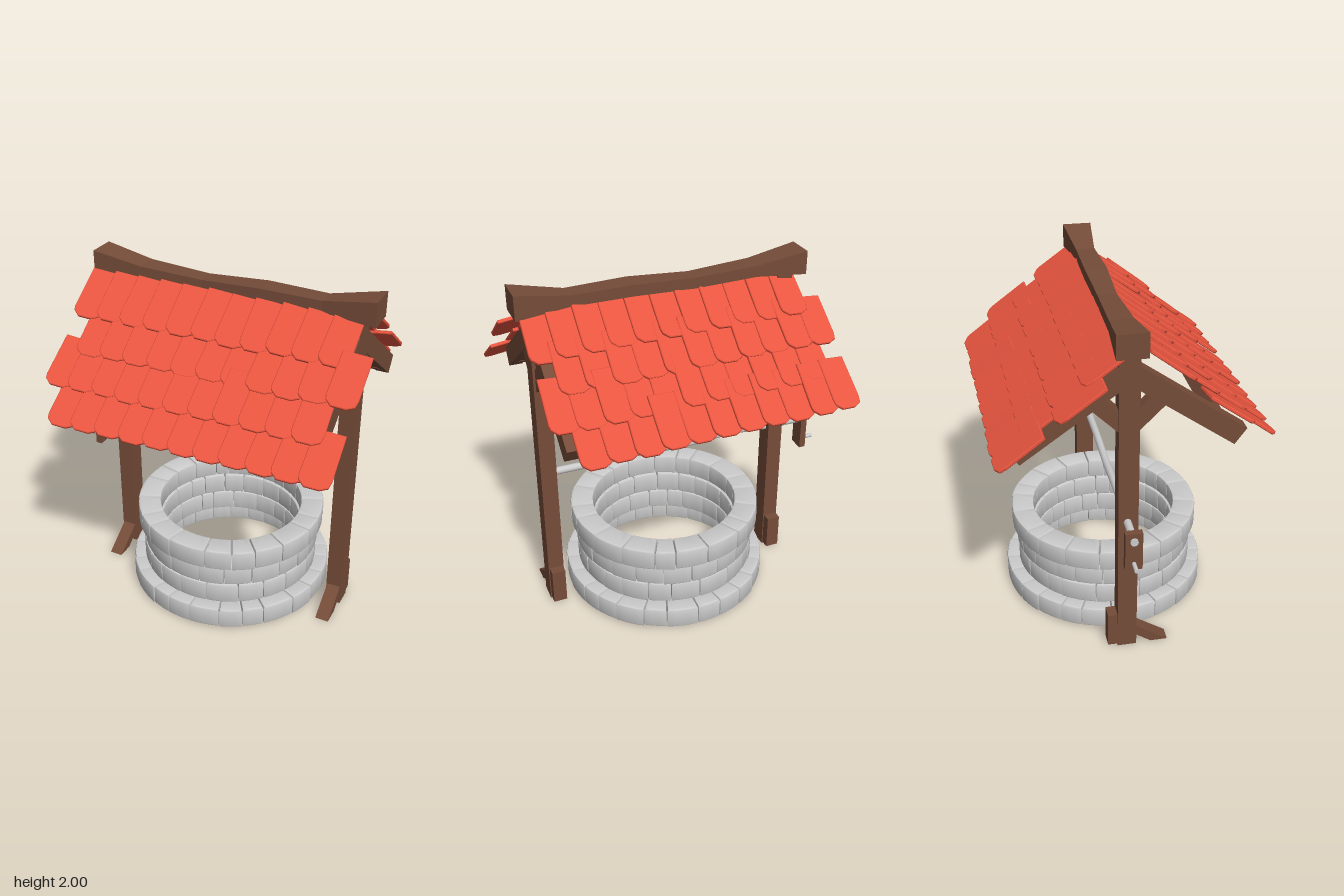
import * as THREE from 'three';
import { toCreasedNormals } from 'three/addons/utils/BufferGeometryUtils.js';

const wood = new THREE.MeshStandardMaterial({ color: 0x754c39, flatShading: true });
const clay = new THREE.MeshStandardMaterial({ color: 0xe8553f, flatShading: true });
const grey = new THREE.MeshStandardMaterial({ color: 0xcccccc });

const MID_Z = -0.03;                 // centre plane of the frame
const POSTS = [-0.648, 0.78];        // x of the two posts

let seed = 7;
const rand = () => (seed = (seed * 16807) % 2147483647) / 2147483647;
const jitter = (a) => (rand() - 0.5) * 2 * a;

function add(parent, name, geo, mat, x = 0, y = 0, z = 0) {
  const m = new THREE.Mesh(geo, mat);
  m.name = name;
  m.position.set(x, y, z);
  parent.add(m);
  return m;
}

// Box-section timber lying in the y-z plane between two [z, y] points
function timber(parent, name, x, a, b, width, height) {
  const dz = b[0] - a[0], dy = b[1] - a[1];
  const m = add(parent, name, new THREE.BoxGeometry(width, height, Math.hypot(dz, dy)), wood,
    x, (a[1] + b[1]) / 2, (a[0] + b[0]) / 2);
  m.rotation.x = Math.atan2(-dy, dz);
  return m;
}

// One bevelled wedge stone spanning angles a0..a1
function stoneGeometry(a0, a1, ri, ro, h) {
  const b = 0.011, gap = 0.002, N = 4, pts = [];
  for (const r of [ro - b, ri + b]) {
    const inset = (b + gap) / r;
    for (let i = 0; i <= N; i++) {
      const t = r > (ri + ro) / 2 ? i / N : 1 - i / N;
      const a = a0 + inset + (a1 - a0 - 2 * inset) * t;
      pts.push(new THREE.Vector2(r * Math.cos(a), r * Math.sin(a)));
    }
  }
  const g = new THREE.ExtrudeGeometry(new THREE.Shape(pts), {
    depth: h - 2 * b, bevelEnabled: true, bevelSize: b, bevelThickness: b, bevelSegments: 2,
  });
  g.rotateX(-Math.PI / 2).translate(0, b, 0);
  return toCreasedNormals(g, 0.6);
}

// Four courses of stones, hollow inside
function buildWall() {
  const wall = new THREE.Group();
  wall.name = 'stoneWall';
  wall.position.set(0.065, 0, MID_Z);
  const courses = [
    { y: 0.01, h: 0.126, ri: 0.475, ro: 0.608, n: 25 },
    { y: 0.138, h: 0.128, ri: 0.42, ro: 0.535, n: 21 },
    { y: 0.268, h: 0.13, ri: 0.42, ro: 0.535, n: 21 },
    { y: 0.4, h: 0.124, ri: 0.43, ro: 0.566, n: 20 },
  ];
  courses.forEach((c, k) => {
    const step = (2 * Math.PI) / c.n;
    const cuts = Array.from({ length: c.n }, (_, i) => (i + k * 0.45) * step + jitter(step * 0.22));
    cuts.push(cuts[0] + 2 * Math.PI);
    for (let i = 0; i < c.n; i++) {
      const g = stoneGeometry(cuts[i], cuts[i + 1], c.ri, c.ro + jitter(0.004), c.h);
      add(wall, 'stone', g, grey, 0, c.y, 0);
    }
  });
  return wall;
}

// Posts with feet, braces and rafters
function buildFrame() {
  const frame = new THREE.Group();
  frame.name = 'timberFrame';
  const foot = new THREE.Shape([[0.21, 0], [0.025, 0.125], [0.025, 0.06], [0.11, 0]]
    .map((p) => new THREE.Vector2(...p)));
  const footGeo = new THREE.ExtrudeGeometry(foot, { depth: 0.08, bevelEnabled: false });
  footGeo.rotateY(-Math.PI / 2).translate(0.04, 0, 0);

  for (const x of POSTS) {
    add(frame, 'post', new THREE.BoxGeometry(0.092, 1.87, 0.11), wood, x, 0.935, MID_Z);
    add(frame, 'frontFoot', footGeo, wood, x);
    add(frame, 'backFootBlock', new THREE.BoxGeometry(0.08, 0.215, 0.055), wood, x, 0.117, -0.112);
    for (const s of [1, -1]) {
      timber(frame, 'rafter', x, [MID_Z, 1.757], [MID_Z + s * 0.595, 1.333], 0.078, 0.11);
      timber(frame, 'brace', x, [MID_Z, 1.43], [MID_Z + s * 0.19, 1.62], 0.065, 0.09);
    }
  }
  // Lengthwise timbers joining the rafter ends
  for (const s of [1, -1]) {
    const p = add(frame, 'purlin', new THREE.BoxGeometry(1.43, 0.07, 0.06), wood,
      0.066, 1.365, MID_Z + s * 0.51);
    p.rotation.x = s * 0.62;
  }

  // Sagging ridge beam: stations of [x, bottom, top, back z, front z]
  const stations = [
    [-0.765, 1.865, 2.0, -0.115, 0.05], [-0.47, 1.885, 1.95, -0.095, 0.035],
    [-0.1, 1.87, 1.932, -0.085, 0.02], [0.25, 1.885, 1.95, -0.095, 0.032],
    [0.6, 1.88, 1.943, -0.088, 0.022], [0.9, 1.86, 2.0, -0.12, 0.05],
  ];
  const ridge = new THREE.BoxGeometry(5, 1, 1, 5, 1, 1);
  const pos = ridge.attributes.position;
  for (let i = 0; i < pos.count; i++) {
    const [x, y0, y1, z0, z1] = stations[Math.round(pos.getX(i) + 2.5)];
    pos.setXYZ(i, x, pos.getY(i) > 0 ? y1 : y0, pos.getZ(i) > 0 ? z1 : z0);
  }
  ridge.computeVertexNormals();
  add(frame, 'ridgeBeam', ridge, wood);
  return frame;
}

// Roof tile standing on its lower edge, lower corners cut off
function tileGeometry() {
  const w = 0.08, L = 0.3, b = 0.004;
  const s = new THREE.Shape([[-0.042, 0], [0.035, 0.002], [w - 0.008, 0.022], [w, 0.06],
    [w - 0.004, L], [-w + 0.004, L], [-w, 0.05], [-w + 0.006, 0.026]]
    .map((p) => new THREE.Vector2(...p)));
  return new THREE.ExtrudeGeometry(s, {
    depth: 0.012, bevelEnabled: true, bevelSize: b, bevelThickness: b, bevelSegments: 1,
  });
}

// Four staggered rows of eleven tiles; the back slope is the same turned round
function buildSlope(name, geo, centres, firstZ, stepZ, stepY) {
  const slope = new THREE.Group();
  slope.name = name;
  for (let r = 0; r < 4; r++) {
    for (let i = 0; i < 11; i++) {
      const x = centres[r % 2] + (i - 5) * 0.143;
      const t = add(slope, 'roofTile', geo, clay, x,
        1.7 - r * stepY + jitter(0.006), firstZ + r * stepZ - 0.03 * x + jitter(0.004));
      t.rotation.set(-0.93 + jitter(0.02), 0.12, jitter(0.02));
    }
  }
  return slope;
}

// Winding rod with crank arm and handle
function buildCrank() {
  const crank = new THREE.Group();
  crank.name = 'crank';
  const path = new THREE.CatmullRomCurve3([[-0.83, 0.868], [-0.6, 0.87], [-0.38, 0.884],
    [-0.08, 0.866], [0.2, 0.874], [0.5, 0.868], [0.76, 0.868]]
    .map(([x, y]) => new THREE.Vector3(x, y, -0.035)));
  add(crank, 'windingRod', new THREE.TubeGeometry(path, 36, 0.022, 12), grey);
  const pin = new THREE.CylinderGeometry(1, 1, 1, 12).rotateZ(Math.PI / 2);
  add(crank, 'rodEnd', pin, grey, -0.845, 0.868, -0.035).scale.set(0.07, 0.022, 0.022);
  add(crank, 'crankArm', new THREE.BoxGeometry(0.038, 0.23, 0.095), wood, -0.85, 0.8, -0.035);
  add(crank, 'handle', pin, grey, -0.89, 0.725, -0.035).scale.set(0.095, 0.012, 0.012);
  return crank;
}

export function createModel() {
  const well = new THREE.Group();
  well.name = 'well';
  const tile = tileGeometry();
  const back = buildSlope('backRoof', tile, [-0.085, 0.02], 0.28, 0.155, 0.125);
  back.rotation.y = Math.PI;
  well.add(buildWall(), buildFrame(), buildCrank(),
    buildSlope('frontRoof', tile, [0.03, 0.137], 0.27, 0.16, 0.138), back);
  return well;
}
